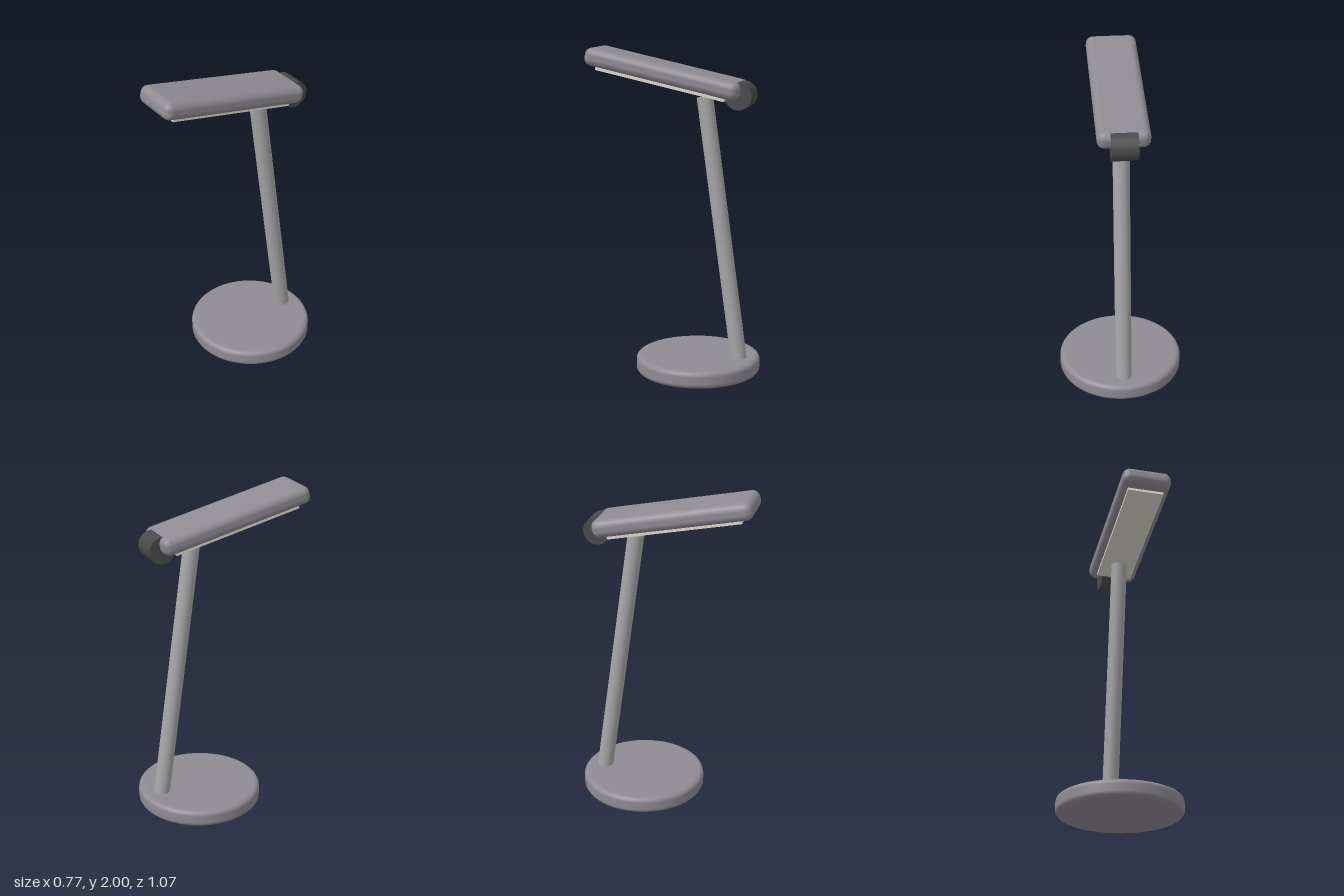
import * as THREE from 'three';
import { RoundedBoxGeometry } from 'three/addons/geometries/RoundedBoxGeometry.js';

function material(name, color) {
  const m = new THREE.MeshStandardMaterial({ color });
  m.name = name;
  return m;
}

export function createModel() {
  const group = new THREE.Group();
  const bodyGray = material('body gray', 0x8f8b93);
  const stemGray = material('stem silver', 0xa6a6a6);
  const hingeGray = material('hinge charcoal', 0x4a4a4a);
  const diffuser = material('diffuser cream', 0xdedace);

  const add = (parent, name, geometry, mat) => {
    const mesh = new THREE.Mesh(geometry, mat);
    mesh.name = name;
    parent.add(mesh);
    return mesh;
  };

  // Round base: a disc with rounded rims
  const R = 0.385, H = 0.105, r = 0.03, steps = 5;
  const profile = [new THREE.Vector2(0, 0), new THREE.Vector2(R - r - 0.004, 0)];
  for (const [cy, start] of [[r, -Math.PI / 2], [H - r, 0]]) {
    for (let i = 0; i <= steps; i++) {
      const a = start + (i / steps) * Math.PI / 2;
      profile.push(new THREE.Vector2(R - r + Math.cos(a) * r, cy + Math.sin(a) * r));
    }
  }
  profile.push(new THREE.Vector2(R - r - 0.004, H), new THREE.Vector2(0, H));
  add(group, 'base', new THREE.LatheGeometry(profile, 48), bodyGray).position.z = -0.152;

  // Leaning stem, sunk slightly into the base
  const foot = new THREE.Vector3(0, 0.06, -0.419);
  const tip = new THREE.Vector3(0, 1.713, -0.188);
  const axis = tip.clone().sub(foot);
  const stem = add(group, 'stem', new THREE.CylinderGeometry(0.05, 0.05, axis.length(), 32), stemGray);
  stem.position.copy(foot).add(tip).multiplyScalar(0.5);
  stem.quaternion.setFromUnitVectors(new THREE.Vector3(0, 1, 0), axis.normalize());

  // Hinge barrel across the back of the head
  const hinge = add(group, 'hinge', new THREE.CylinderGeometry(0.082, 0.082, 0.154, 32), hingeGray);
  hinge.rotation.z = Math.PI / 2;
  hinge.position.set(0, 1.73, -0.412);

  // Tilted lamp head with the light panel underneath
  const head = new THREE.Group();
  head.name = 'head';
  head.position.set(0, 1.854, 0.054);
  head.rotation.x = -0.206;
  group.add(head);
  add(head, 'headShell', new RoundedBoxGeometry(0.306, 0.11, 0.98, 3, 0.045), bodyGray);
  add(head, 'lightPanel', new THREE.BoxGeometry(0.225, 0.03, 0.823), diffuser).position.y = -0.058;

  return group;
}
